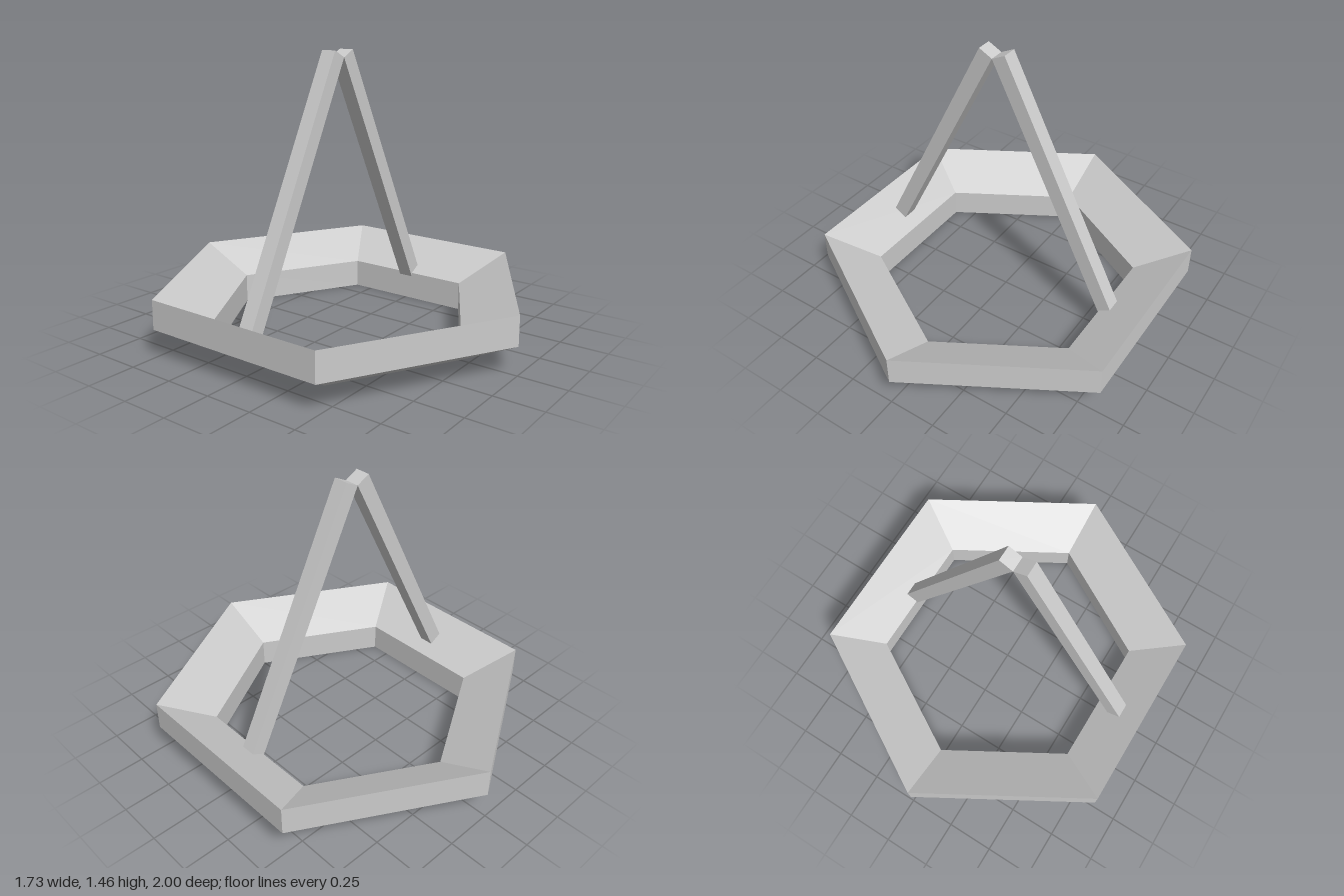
import * as THREE from 'three';

export function createModel() {
  const model = new THREE.Group();
  model.name = 'hexagonalSwing';
  const material = new THREE.MeshStandardMaterial({ color: 0xcccccc, flatShading: true });

  // Six-sided ring with a slanted section: the outer wall sits higher than the inner wall
  const profile = [[0.7, 0], [1, 0.145], [1, 0.297], [0.7, 0.152], [0.7, 0]]
    .map(([r, y]) => new THREE.Vector2(r, y));
  const ringGeometry = new THREE.LatheGeometry(profile, 6).toNonIndexed();
  ringGeometry.computeVertexNormals();
  const ring = new THREE.Mesh(ringGeometry, material);
  ring.name = 'hexagonalRing';
  model.add(ring);

  // Two square bars leaning together at an apex slightly off centre
  const apexX = -0.052, apexY = 1.425;
  const thickness = 0.08, length = 1.45, lean = 0.47;
  for (const side of [-1, 1]) {
    // Pivot at the inner top corner, where the bars touch
    const bar = new THREE.BoxGeometry(thickness, length, thickness);
    bar.translate(side * thickness / 2, -length / 2, 0);
    const leg = new THREE.Mesh(bar, material);
    leg.name = side < 0 ? 'rightBar' : 'leftBar';
    leg.position.set(apexX, apexY, 0);
    leg.rotation.z = side * lean;
    model.add(leg);
  }
  return model;
}
